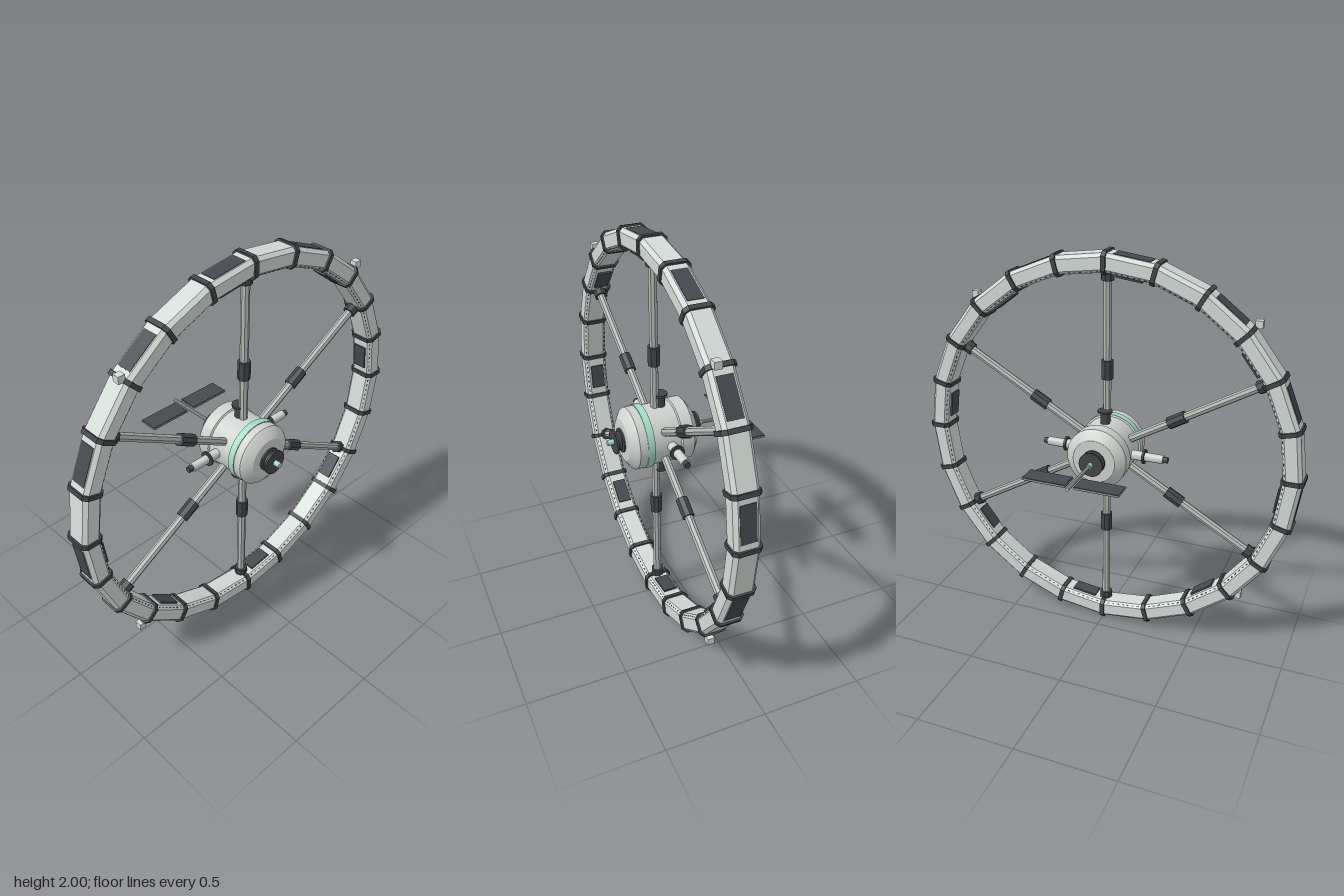
import * as THREE from 'three';
import { toCreasedNormals } from 'three/addons/utils/BufferGeometryUtils.js';

const mat = (name, color) => {
  const m = new THREE.MeshStandardMaterial({ color });
  m.name = name;
  return m;
};
const RING_Z = 0.127, STEP = Math.PI / 12;

export function createModel() {
  const hull = mat('hullGrey', 0xd3dbd7);
  const hubGrey = mat('hubGrey', 0xcfd2cf);
  const strut = mat('strutGrey', 0xb3bab6);
  const dark = mat('darkCollar', 0x424649);
  const panel = mat('panelSlate', 0x454a50);
  const mint = mat('mintAccent', 0xa6dcc8);

  const root = new THREE.Group();
  root.name = 'wheelStation';
  const station = new THREE.Group();
  station.name = 'station';
  station.position.y = 1;
  root.add(station);

  const add = (parent, name, geometry, material, x = 0, y = 0, z = 0) => {
    const m = new THREE.Mesh(geometry, material);
    m.name = name;
    m.position.set(x, y, z);
    parent.add(m);
    return m;
  };
  // Group whose local y points outwards from the hub at a clockwise angle
  const radial = (name, angle, z = RING_Z) => {
    const g = new THREE.Group();
    g.name = name;
    g.rotation.z = -angle;
    g.position.z = z;
    station.add(g);
    return g;
  };
  // Profile of [radius, z] pairs turned around the z axis
  const turned = (profile, sides, crease) => toCreasedNormals(
    new THREE.LatheGeometry(profile.map(([r, z]) => new THREE.Vector2(r, z)), sides).rotateX(Math.PI / 2), crease);
  const cyl = (r, h, sides = 16) => toCreasedNormals(new THREE.CylinderGeometry(r, r, h, sides), 0.7);
  // Chamfered section as [radius, z] pairs
  const section = (r0, r1, w, c) => [
    [r0 + c, -w], [r1 - c, -w], [r1, -w + c], [r1, w - c],
    [r1 - c, w], [r0 + c, w], [r0, w - c], [r0, -w + c]];

  // Habitat ring of 24 straight segments
  const ringProfile = section(0.9, 0.992, 0.061, 0.017);
  ringProfile.push(ringProfile[0]);
  add(station, 'habitatRing', turned(ringProfile, 24, 0.1), hull, 0, 0, RING_Z);

  // Collars over the ring joints
  const collarShape = new THREE.Shape(section(0.89, 1.0, 0.069, 0.02).map(([r, z]) => new THREE.Vector2(z, r)));
  const collarGeo = new THREE.ExtrudeGeometry(collarShape, { depth: 0.022, bevelEnabled: false })
    .translate(0, 0, -0.011).rotateY(Math.PI / 2);
  const outerGeo = new THREE.BoxGeometry(0.18, 0.005, 0.076);
  const innerGeo = new THREE.BoxGeometry(0.13, 0.009, 0.07);
  const windowGeo = new THREE.BoxGeometry(0.011, 0.003, 0.005);
  const cosHalf = Math.cos(STEP / 2);
  for (let k = 0; k < 24; k++) {
    add(radial('ringJoint', k * STEP), 'ringCollar', collarGeo, dark);
    const seg = radial('ringSegment', (k + 0.5) * STEP);
    if (k % 2 === 1) add(seg, 'outerPanel', outerGeo, panel, 0, 0.992 * cosHalf, 0);
    if (k % 3 === 2) add(seg, 'innerPanel', innerGeo, panel, 0, 0.9 * cosHalf - 0.008, 0);
    // Rows of small windows on the inner chamfers
    for (const s of [-1, 1])
      for (let i = -3; i <= 3; i++)
        add(seg, 'ringWindow', windowGeo, panel, i * 0.028, 0.9085 * cosHalf, s * 0.0525).rotation.x = -s * Math.PI / 4;
  }

  // Spokes with a mid clamp and an end collar
  const spokeGeo = cyl(0.021, 0.78, 8);
  const clampGeo = cyl(0.031, 0.095, 8);
  const endGeo = cyl(0.033, 0.035, 8);
  for (let k = 0; k < 6; k++) {
    const g = radial('spoke', k * Math.PI / 3);
    add(g, 'spokeTube', spokeGeo, strut, 0, 0.51, 0);
    add(g, 'spokeClamp', clampGeo, dark, 0, 0.42, 0);
    add(g, 'spokeEndCollar', endGeo, dark, 0, 0.875, 0);
  }

  // Attitude blocks on the rim
  const blockGeo = new THREE.BoxGeometry(0.035, 0.035, 0.035);
  for (const x of [-0.718, 0.718])
    for (const y of [-0.718, 0.718]) add(station, 'rimBlock', blockGeo, hull, x, y, 0.157);

  // Hub drum with a recessed waist
  add(station, 'hubDrum', turned([
    [0, -0.05], [0.11, -0.05], [0.153, -0.02], [0.157, -0.015], [0.157, 0.045], [0.149, 0.05],
    [0.149, 0.185], [0.155, 0.187], [0.155, 0.262], [0.148, 0.272], [0.105, 0.3], [0, 0.305]], 36, 0.5), hubGrey);
  add(station, 'hubBand', turned([[0.15, 0.187], [0.159, 0.187], [0.159, 0.222], [0.15, 0.222]], 36, 0.5), mint);

  // Docking caps at both ends of the hub
  const capGeo = turned([[0, 0], [0.06, 0], [0.06, 0.012], [0.046, 0.015], [0.046, 0.033],
    [0.062, 0.035], [0.062, 0.045], [0, 0.045]], 24, 0.5);
  add(station, 'frontCap', capGeo, dark, 0, 0, 0.298);
  add(station, 'rearCap', capGeo, dark, 0, 0, -0.048).rotation.y = Math.PI;
  const nubGeo = cyl(0.014, 0.034, 12).rotateX(Math.PI / 2);
  add(station, 'frontNub', nubGeo, mint, 0, 0, 0.358);
  add(station, 'rearNub', nubGeo, mint, 0, 0, -0.1);

  // Rear boom with a pair of solar wings
  add(station, 'rearBoom', cyl(0.009, 0.275, 10).rotateX(Math.PI / 2), strut, 0, 0, -0.2375);
  for (const s of [-1, 1]) {
    add(station, 'wingFrame', new THREE.BoxGeometry(0.225, 0.005, 0.1), strut, s * 0.1325, 0, -0.3);
    add(station, 'wingCells', new THREE.BoxGeometry(0.22, 0.013, 0.095), panel, s * 0.1325, 0, -0.3);
  }

  // Four radial ports; the two side ones carry docked pods
  for (let k = 0; k < 4; k++) {
    const g = radial('dockingPort', k * Math.PI / 2, 0.1);
    const hasPod = k % 2 === 1;
    add(g, 'portNeck', cyl(0.024, 0.08), hasPod ? hubGrey : dark, 0, 0.172, 0);
    add(g, 'portFlange', cyl(0.037, 0.011), dark, 0, 0.21, 0);
    if (hasPod) {
      add(g, 'podBody', cyl(0.022, 0.095), hubGrey, 0, 0.262, 0);
      add(g, 'podTip', cyl(0.015, 0.025), dark, 0, 0.32, 0);
    }
  }
  return root;
}
